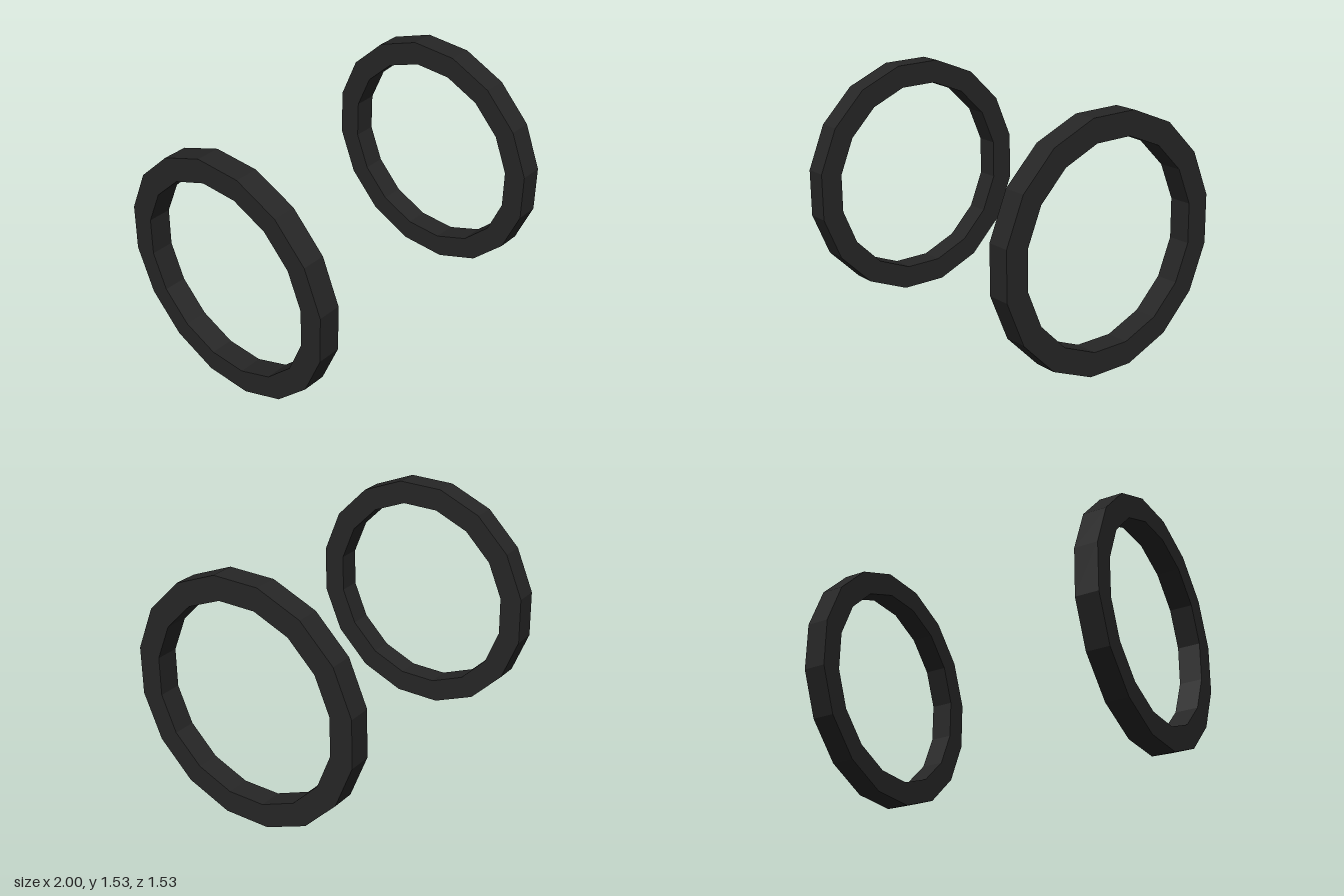
import * as THREE from 'three';

const SIDES = 16, OUTER = 0.78, INNER = 0.631, WIDTH = 0.145;
const CENTRE_Y = 0.767, START = THREE.MathUtils.degToRad(10.5);

// Corners of a regular polygon, turned by the start angle
function polygon(radius) {
  return Array.from({ length: SIDES }, (_, i) => {
    const a = START + (i / SIDES) * Math.PI * 2;
    return new THREE.Vector2(Math.cos(a) * radius, Math.sin(a) * radius);
  });
}

export function createModel() {
  const model = new THREE.Group();
  model.name = 'ringPair';
  const material = new THREE.MeshStandardMaterial({ color: 0x262626, flatShading: true });

  // Faceted flat-sided ring, with its axis along x
  const shape = new THREE.Shape(polygon(OUTER));
  shape.holes.push(new THREE.Path(polygon(INNER)));
  const geometry = new THREE.ExtrudeGeometry(shape, { depth: WIDTH, bevelEnabled: false });
  geometry.translate(0, 0, -WIDTH / 2);
  geometry.rotateY(-Math.PI / 2);

  // One ring on each side
  for (const [name, side] of [['leftRing', 1], ['rightRing', -1]]) {
    const ring = new THREE.Mesh(geometry, material);
    ring.name = name;
    ring.position.set(side * (1 - WIDTH / 2), CENTRE_Y, 0);
    model.add(ring);
  }
  return model;
}
